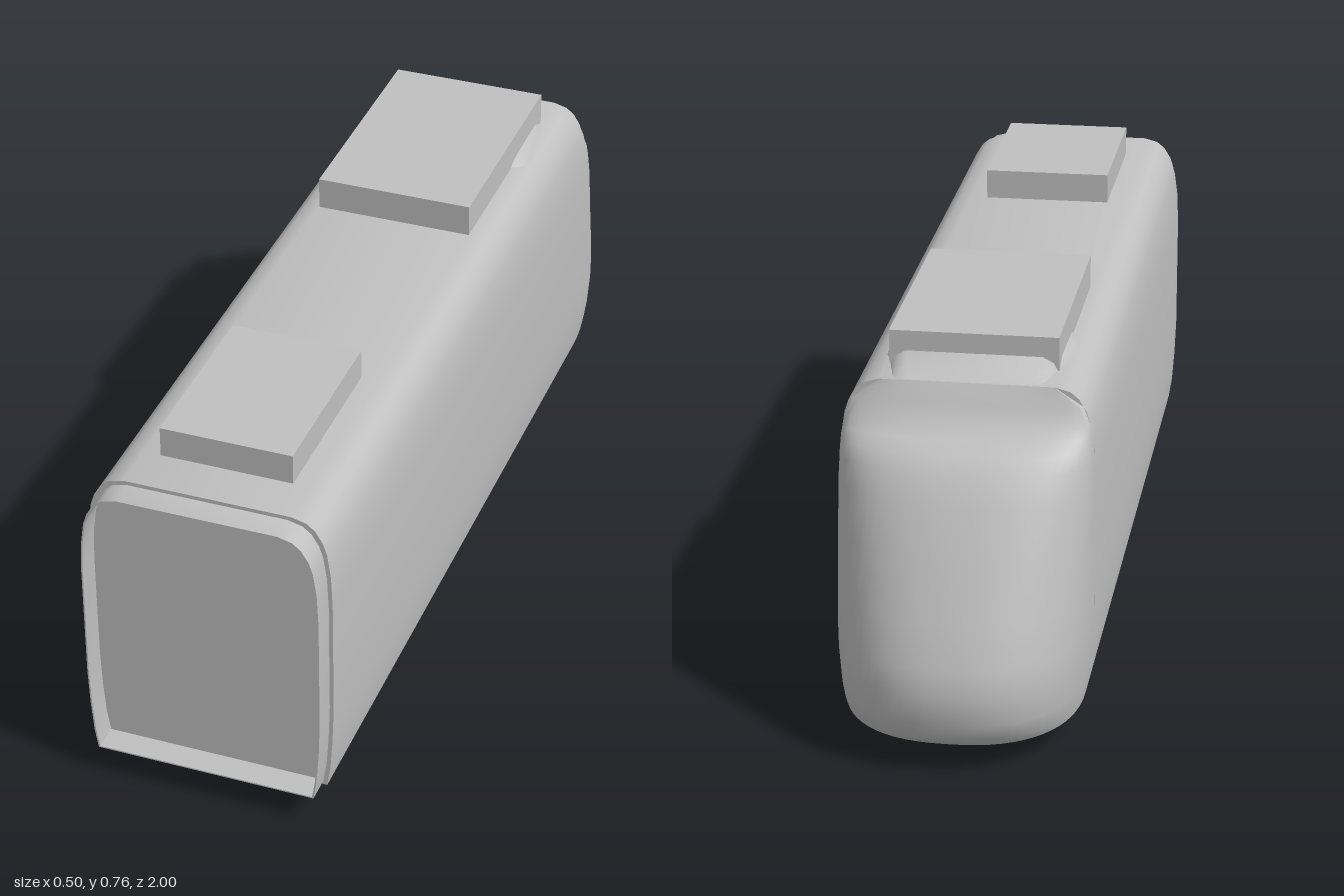
import * as THREE from 'three';
import { toCreasedNormals } from 'three/addons/utils/BufferGeometryUtils.js';

// Half cross-section of the car: [y, half width], floor to roof
const SECTION = [
  [0.055, 0.235], [0.1, 0.242], [0.17, 0.247], [0.25, 0.25], [0.5, 0.25], [0.57, 0.247],
  [0.62, 0.24], [0.645, 0.232], [0.67, 0.217], [0.684, 0.2], [0.692, 0.17],
];
const JOINT = -0.69;

function halfWidth(y) {
  for (let i = 1; i < SECTION.length; i++) {
    const [y0, w0] = SECTION[i - 1], [y1, w1] = SECTION[i];
    if (y <= y1) return w0 + (w1 - w0) * Math.max(0, (y - y0) / (y1 - y0));
  }
  return SECTION[SECTION.length - 1][1];
}

// Mirrored outline, shrunk by d on every side
function outline(d = 0) {
  const cy = 0.3735, ky = 1 - d / 0.3185;
  const right = SECTION.map(([y, w]) => new THREE.Vector2(w - d, cy + (y - cy) * ky));
  const left = right.map((p) => new THREE.Vector2(-p.x, p.y)).reverse();
  return [...right, ...left];
}

function extrude(shape, z0, z1) {
  const g = new THREE.ExtrudeGeometry(shape, { depth: z1 - z0, bevelEnabled: false });
  g.translate(0, 0, z0);
  return toCreasedNormals(g, 0.6);
}

// Surface from equal-length rows of points
function gridGeometry(rows, extra = null) {
  const n = rows[0].length, pos = rows.flat(2), idx = [];
  for (let i = 0; i < rows.length - 1; i++) {
    for (let j = 0; j < n - 1; j++) {
      const a = i * n + j, b = a + n;
      idx.push(a, a + 1, b + 1, a, b + 1, b);
    }
  }
  if (extra) {
    const c = pos.length / 3;
    pos.push(...extra);
    for (let j = 0; j < n - 1; j++) idx.push(c, j + 1, j);
  }
  const g = new THREE.BufferGeometry();
  g.setAttribute('position', new THREE.Float32BufferAttribute(pos, 3));
  g.setIndex(idx);
  return toCreasedNormals(g, 0.75);
}

// Rounded nose: each level is a superellipse in plan
function noseGeometry() {
  const profile = [
    [0.055, 0.27], [0.075, 0.292], [0.11, 0.305], [0.17, 0.31], [0.22, 0.297], [0.3, 0.262],
    [0.41, 0.212], [0.5, 0.165], [0.55, 0.135], [0.58, 0.107], [0.6, 0.07], [0.62, 0.04],
    [0.655, 0.022], [0.692, 0],
  ];
  const steps = 32, e = 2 / 2.4;
  const rows = profile.map(([y, depth]) => {
    const w = halfWidth(y), row = [];
    for (let j = 0; j <= steps; j++) {
      const a = (j / steps) * Math.PI, c = Math.cos(a), s = Math.max(0, Math.sin(a));
      row.push([Math.sign(c) * w * Math.abs(c) ** e, y, JOINT - depth * s ** e]);
    }
    return row;
  });
  return gridGeometry(rows, [0, 0.055, JOINT]);
}

// Low fairing that swells around the front roof unit: [z, half width, top]
function fairingGeometry() {
  const sections = [
    [-0.35, 0.15, 0.693], [-0.41, 0.188, 0.708], [-0.48, 0.188, 0.712],
    [-0.55, 0.182, 0.717], [-0.6, 0.168, 0.719], [-0.64, 0.16, 0.708], [-0.685, 0.15, 0.692],
  ];
  const rows = sections.map(([z, w, top]) => [
    [w, 0.685, z], [w * 0.93, 0.4 * 0.69 + 0.6 * top, z], [w * 0.8, top, z], [0, top, z],
    [-w * 0.8, top, z], [-w * 0.93, 0.4 * 0.69 + 0.6 * top, z], [-w, 0.685, z],
  ]);
  return gridGeometry(rows.reverse());
}

export function createModel() {
  const model = new THREE.Group();
  model.name = 'railCar';
  const grey = new THREE.MeshStandardMaterial({ color: 0xc0c0c0, side: THREE.DoubleSide });
  grey.name = 'lightGrey';

  const add = (name, geometry, x = 0, y = 0, z = 0) => {
    const mesh = new THREE.Mesh(geometry, grey);
    mesh.name = name;
    mesh.position.set(x, y, z);
    model.add(mesh);
    return mesh;
  };

  // Car body and nose
  add('body', extrude(new THREE.Shape(outline()), JOINT, 0.945));
  add('nose', noseGeometry());

  // Open gangway frame around the flat end
  const frame = new THREE.Shape(outline(0.008));
  frame.holes.push(new THREE.Path(outline(0.011).reverse()));
  add('gangwayFrame', extrude(frame, 0.945, 1));

  // Roof equipment
  add('frontRoofUnit', new THREE.BoxGeometry(0.27, 0.075, 0.375), 0, 0.7175, 0.6575);
  add('rearRoofUnit', new THREE.BoxGeometry(0.334, 0.08, 0.5), 0, 0.72, -0.35);
  add('roofFairing', fairingGeometry());

  // Wheels showing below the floor
  for (const side of [-1, 1]) {
    for (const z of [0.355, -0.025]) {
      const wheel = new THREE.CylinderGeometry(0.056, 0.056, 0.02, 12);
      wheel.rotateZ(Math.PI / 2);
      add('wheel', toCreasedNormals(wheel, 0.7), side * 0.157, 0.056, z);
    }
  }
  return model;
}
